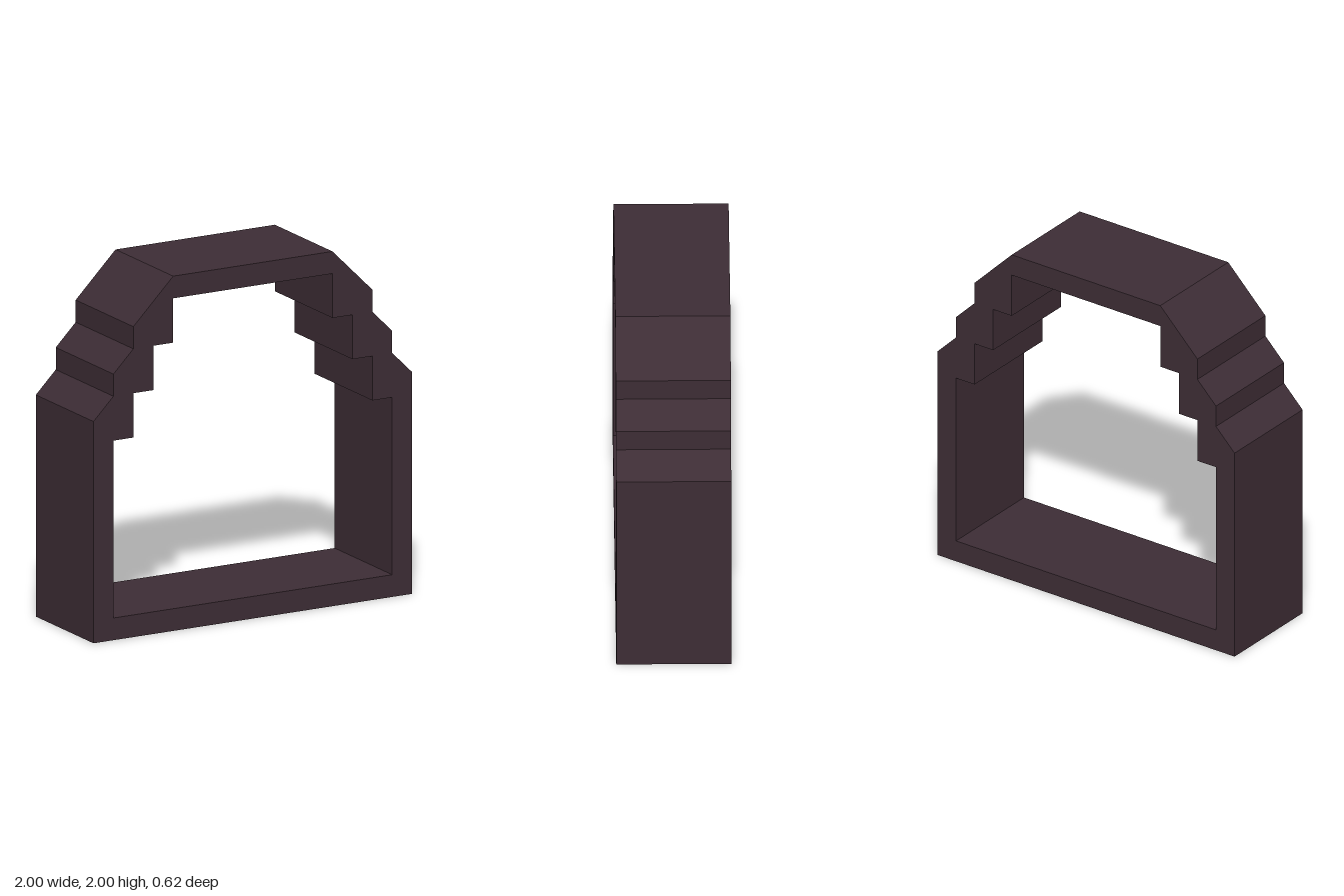
import * as THREE from 'three';

// Right half of a symmetric outline, bottom to top, mirrored into a closed loop
function mirrored(half) {
  const pts = half.map(([x, y]) => new THREE.Vector2(x, y));
  const left = half.map(([x, y]) => new THREE.Vector2(-x, y)).reverse();
  return pts.concat(left);
}

export function createModel() {
  const group = new THREE.Group();
  group.name = 'steppedArch';

  const darkPlum = new THREE.MeshStandardMaterial({ color: 0x3d2d35, flatShading: true });
  darkPlum.name = 'darkPlum';

  // Outer outline: straight walls, three chamfered steps, flat top
  const shape = new THREE.Shape(mirrored([
    [1, 0], [1, 1.25], [0.875, 1.375], [0.875, 1.5],
    [0.75, 1.625], [0.75, 1.75], [0.5, 2],
  ]));

  // Opening: square corbelled steps under the roof
  shape.holes.push(new THREE.Path(mirrored([
    [0.875, 0.125], [0.875, 1.125], [0.75, 1.125], [0.75, 1.375],
    [0.625, 1.375], [0.625, 1.625], [0.5, 1.625], [0.5, 1.875],
  ])));

  const depth = 0.625;
  const geometry = new THREE.ExtrudeGeometry(shape, { depth, bevelEnabled: false });
  geometry.translate(0, 0, -depth / 2);

  const frame = new THREE.Mesh(geometry, darkPlum);
  frame.name = 'archFrame';
  group.add(frame);
  return group;
}
